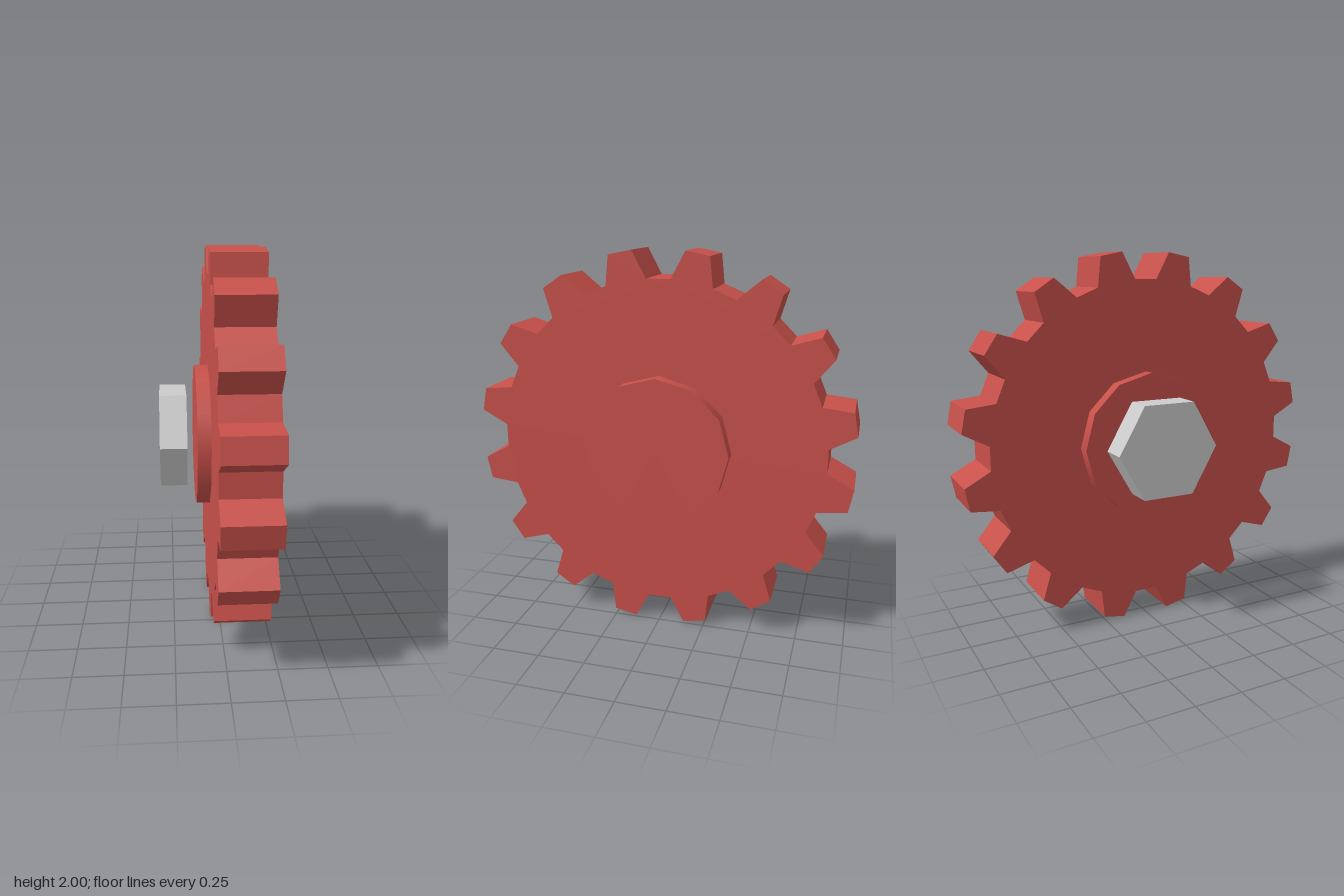
import * as THREE from 'three';

const TEETH = 16;
const TIP_R = 1.009, ROOT_R = 0.866;
const TIP_HALF = THREE.MathUtils.degToRad(3.5);
const ROOT_HALF = THREE.MathUtils.degToRad(7.1);

// Toothed outline: four corners per tooth, straight valleys between them
function gearShape() {
  const points = [];
  for (let i = 0; i < TEETH; i++) {
    const a = ((i + 0.5) / TEETH) * Math.PI * 2;
    for (const [r, d] of [[ROOT_R, -ROOT_HALF], [TIP_R, -TIP_HALF], [TIP_R, TIP_HALF], [ROOT_R, ROOT_HALF]]) {
      points.push(new THREE.Vector2(r * Math.cos(a + d), r * Math.sin(a + d)));
    }
  }
  return new THREE.Shape(points);
}

// Prism along the x axis between x0 and x1
function axialCylinder(name, radius, sides, x0, x1, material) {
  const geometry = new THREE.CylinderGeometry(radius, radius, x1 - x0, sides);
  geometry.rotateZ(Math.PI / 2);
  const mesh = new THREE.Mesh(geometry, material);
  mesh.name = name;
  mesh.position.set((x0 + x1) / 2, 1, 0);
  return mesh;
}

export function createModel() {
  const model = new THREE.Group();
  model.name = 'gearWheel';

  const red = new THREE.MeshStandardMaterial({ color: 0xc8504a });
  const grey = new THREE.MeshStandardMaterial({ color: 0xcccccc, flatShading: true });

  // Toothed wheel
  const wheelGeometry = new THREE.ExtrudeGeometry(gearShape(), { depth: 0.285, bevelEnabled: false });
  wheelGeometry.rotateY(Math.PI / 2);
  const wheel = new THREE.Mesh(wheelGeometry, red);
  wheel.name = 'toothedWheel';
  wheel.position.set(-0.05, 1, 0);
  model.add(wheel);

  // Hub standing proud of both faces
  model.add(axialCylinder('hub', 0.382, 12, -0.12, 0.306, red));

  // Hexagonal nut, set off from the hub
  model.add(axialCylinder('hexNut', 0.285, 6, -0.31, -0.168, grey));

  return model;
}
